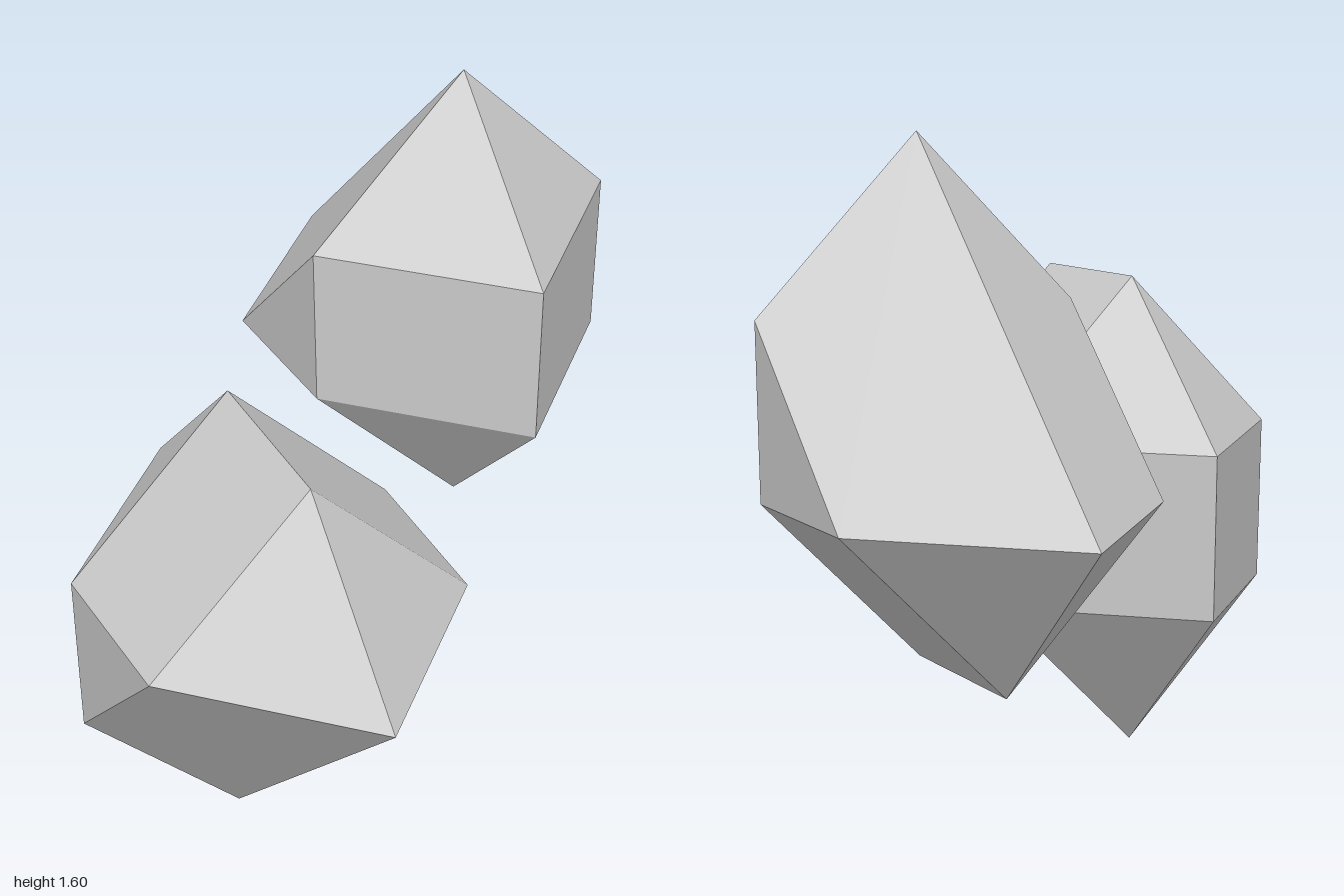
import * as THREE from 'three';
import { ConvexGeometry } from 'three/addons/geometries/ConvexGeometry.js';

const material = new THREE.MeshStandardMaterial({ color: 0xcccccc, flatShading: true });

// The six tips of an octahedron
function octahedronTips([x, y, z], r) {
  return [-r, r].flatMap((d) => [
    new THREE.Vector3(x + d, y, z),
    new THREE.Vector3(x, y + d, z),
    new THREE.Vector3(x, y, z + d),
  ]);
}

// Faceted crystal: hull around an L of three octahedra, one at the corner
// and one at the end of each arm (up/down by sy, front/back by sz)
function crystal(name, [x, y, z], step, sy, sz, cornerRadius, armRadius) {
  const points = [
    ...octahedronTips([x, y, z], cornerRadius),
    ...octahedronTips([x, y + sy * step, z], armRadius),
    ...octahedronTips([x, y, z + sz * step], armRadius),
  ];
  const mesh = new THREE.Mesh(new ConvexGeometry(points), material);
  mesh.name = name;
  return mesh;
}

export function createModel() {
  const model = new THREE.Group();
  model.name = 'crystalPair';
  // Upper crystal reaches up and back, lower crystal down and forward
  model.add(crystal('upperCrystal', [0.403, 0.797, -0.2], 0.405, 1, -1, 0.388, 0.395));
  model.add(crystal('lowerCrystal', [-0.406, 0.793, 0.207], 0.407, -1, 1, 0.394, 0.386));
  return model;
}
